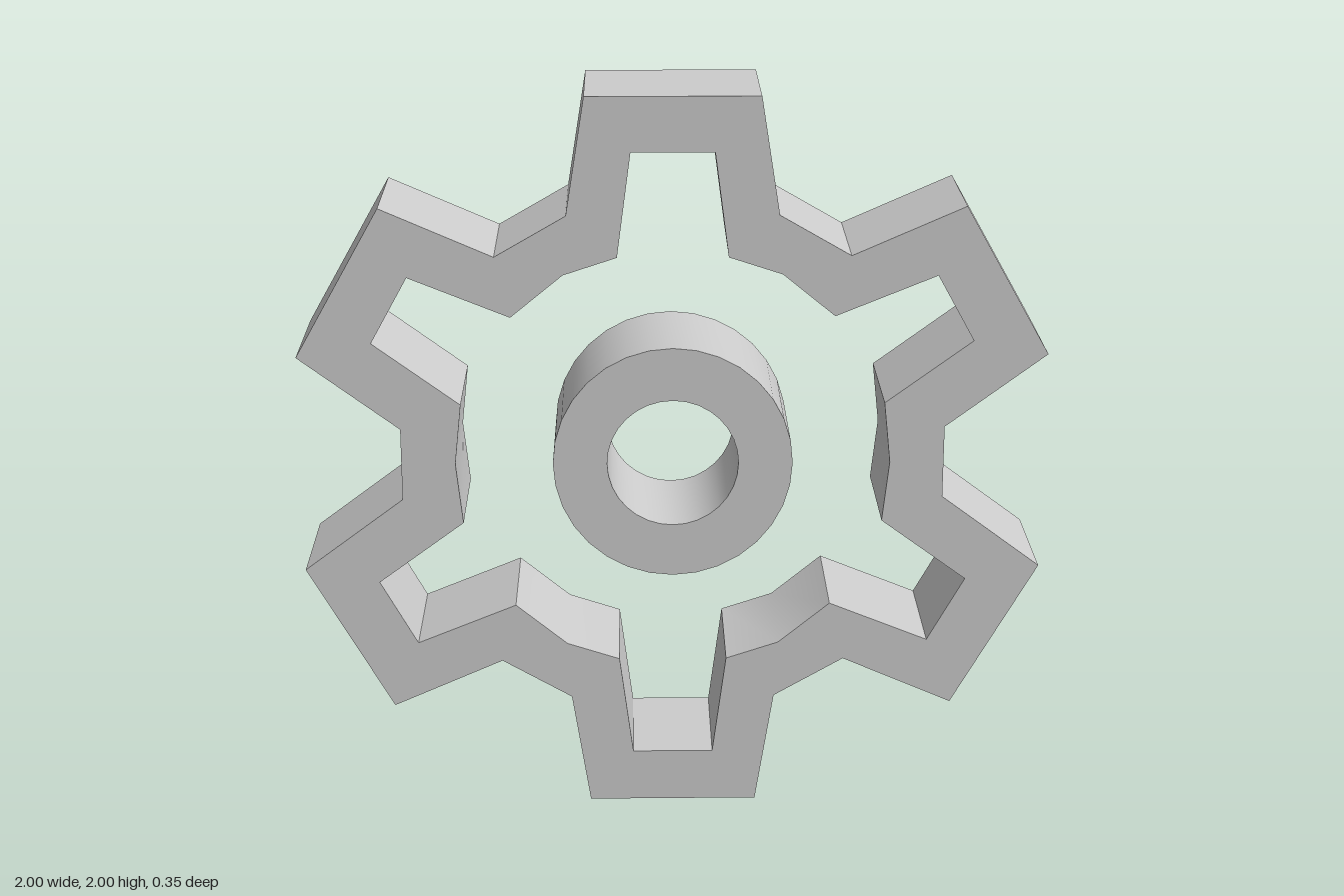
import * as THREE from 'three';
import { toCreasedNormals } from 'three/addons/utils/BufferGeometryUtils.js';

const DEPTH = 0.355;

// Mirrors a quarter outline (top to right side) into a full counter-clockwise loop.
function mirrorQuarter(quarter) {
  const half = [...quarter, ...quarter.filter(([, y]) => y > 0).reverse().map(([x, y]) => [x, -y])];
  const full = [...half, ...half.slice().reverse().map(([x, y]) => [-x, y])];
  return full.reverse().map(([x, y]) => new THREE.Vector2(x, y));
}

// Extrudes a shape centred on z = 0, keeping sharp edges crisp.
function extrude(shape, segments, crease) {
  const geometry = new THREE.ExtrudeGeometry(shape, {
    depth: DEPTH, bevelEnabled: false, curveSegments: segments,
  });
  geometry.translate(0, 0, -DEPTH / 2);
  return toCreasedNormals(geometry, crease);
}

export function createModel() {
  const group = new THREE.Group();
  group.name = 'gear';
  const material = new THREE.MeshStandardMaterial({ color: 0xcccccc });

  const add = (name, geometry) => {
    const mesh = new THREE.Mesh(geometry, material);
    mesh.name = name;
    mesh.position.y = 1;
    group.add(mesh);
  };

  // Six-toothed rim whose opening follows the teeth
  const rim = new THREE.Shape(mirrorQuarter([
    [0.23, 1], [0.28, 0.685], [0.47, 0.575], [0.77, 0.707], [1, 0.302], [0.73, 0.1],
  ]));
  rim.holes.push(new THREE.Path(mirrorQuarter([
    [0.11, 0.853], [0.147, 0.572], [0.29, 0.525], [0.43, 0.41],
    [0.70, 0.52], [0.80, 0.34], [0.567, 0.168], [0.585, 0],
  ])));
  add('toothedRim', extrude(rim, 1, 0.4));

  // Central hub with a round bore
  const hub = new THREE.Shape().absarc(0, 0, 0.323, 0, Math.PI * 2);
  hub.holes.push(new THREE.Path().absarc(0, 0, 0.177, 0, Math.PI * 2));
  add('hub', extrude(hub, 16, 0.6));

  return group;
}
